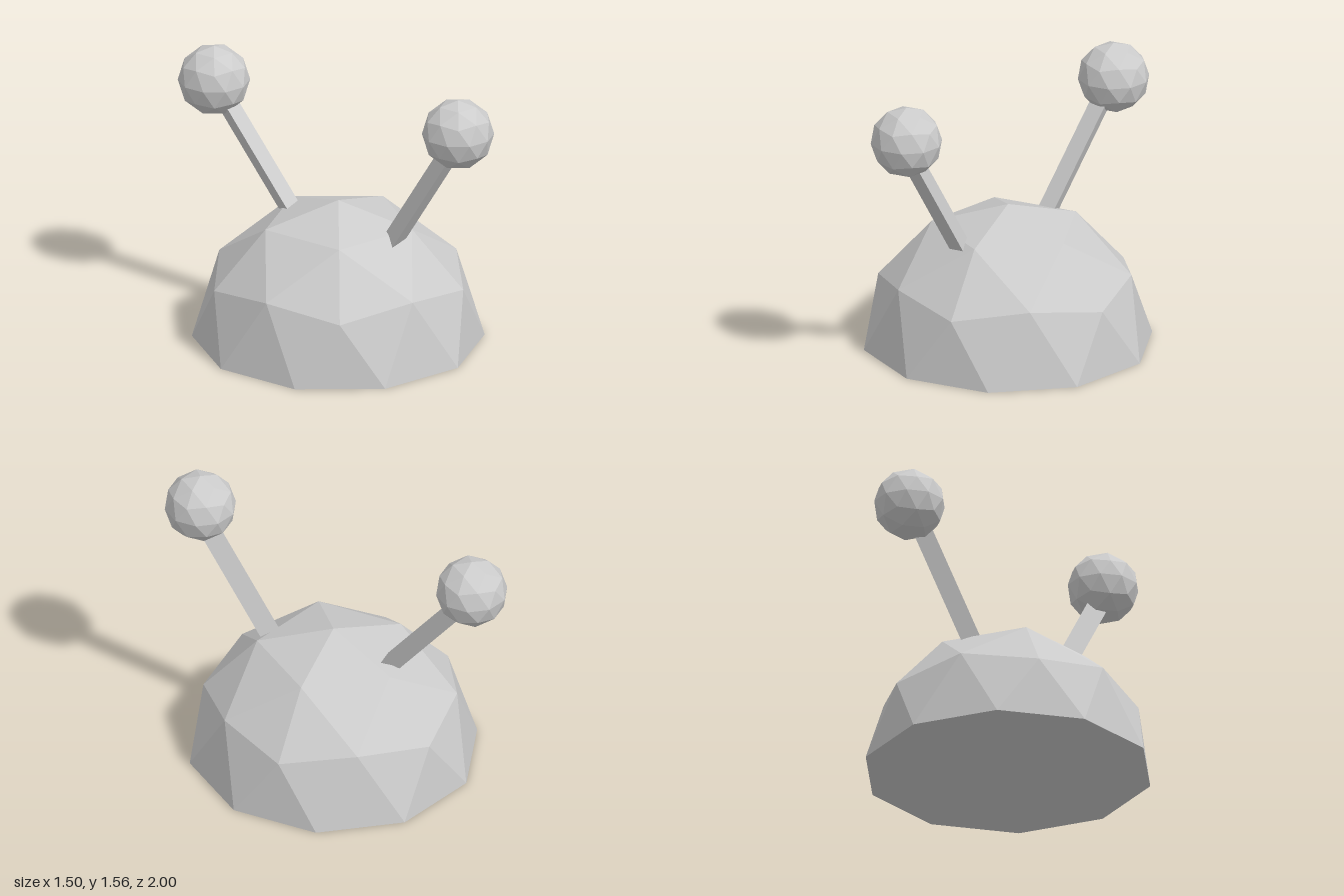
import * as THREE from 'three';
import { ConvexGeometry } from 'three/addons/geometries/ConvexGeometry.js';

const material = new THREE.MeshStandardMaterial({ color: 0xcccccc, flatShading: true });

// Rings of a once-subdivided icosahedron standing on a vertex:
// [height, radius, count, azimuth offset in degrees], upper half
const RINGS = [
  [1, 0, 1, 0],
  [0.8507, 0.5257, 5, 0],
  [0.5257, 0.8507, 5, 36],
  [0.4472, 0.8944, 5, 0],
  [0, 1, 10, 18],
];

function icoGeometry(radius, half) {
  const points = [];
  for (const [h, r, count, offset] of RINGS) {
    for (let i = 0; i < count; i++) {
      const a = THREE.MathUtils.degToRad(offset + (360 / count) * i);
      const p = new THREE.Vector3(r * Math.cos(a), h, r * Math.sin(a)).multiplyScalar(radius);
      points.push(p);
      // The lower half is the upper half seen through the centre
      if (!half && h > 0) points.push(p.clone().negate());
    }
  }
  return new ConvexGeometry(points);
}

function addMesh(group, name, geometry, x, y, z) {
  const mesh = new THREE.Mesh(geometry, material);
  mesh.name = name;
  mesh.position.set(x, y, z);
  group.add(mesh);
  return mesh;
}

// Three-sided stalk in the x = 0 plane, from [y, z] to [y, z], ridge towards the back
function addStalk(group, name, [y0, z0], [y1, z1]) {
  const length = Math.hypot(y1 - y0, z1 - z0);
  const geometry = new THREE.CylinderGeometry(0.0645, 0.0645, length, 3, 1, false, Math.PI);
  const stalk = addMesh(group, name, geometry, 0, (y0 + y1) / 2, (z0 + z1) / 2);
  stalk.rotation.x = Math.atan2(z1 - z0, y1 - y0);
}

export function createModel() {
  const model = new THREE.Group();
  model.name = 'domeWithStalks';

  // Faceted half-sphere body, closed underneath
  addMesh(model, 'dome', icoGeometry(0.788, true), 0, 0, 0.015);

  // Stalks run from inside the dome to inside the balls
  addStalk(model, 'frontStalk', [0.62, 0.37], [1.33, 0.81]);
  addStalk(model, 'backStalk', [0.62, -0.275], [1.26, -0.79]);

  // Balls on the stalk ends
  const ball = icoGeometry(0.195, false);
  addMesh(model, 'frontBall', ball, 0, 1.368, 0.805);
  addMesh(model, 'backBall', ball, 0, 1.294, -0.805);

  return model;
}
